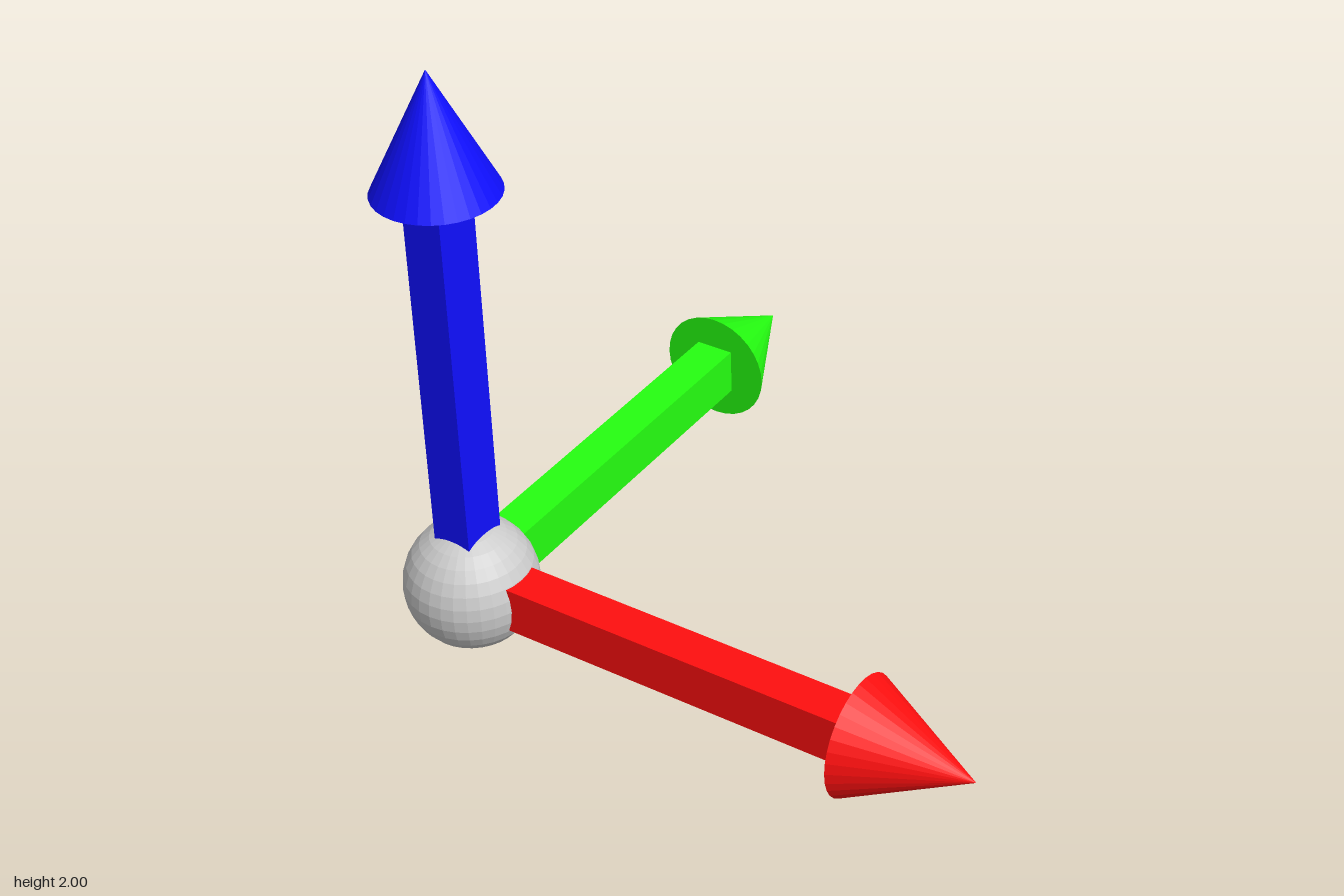
import * as THREE from 'three';

const CENTER = new THREE.Vector3(-0.784, 0.215, 0.784);
const REACH = 1.784;       // centre of the ball to an arrow tip
const HEAD = 0.386;        // length of the arrowhead
const HEAD_RADIUS = 0.193;

const material = (color) => new THREE.MeshStandardMaterial({ color, flatShading: true });

// An arrow along +y from the origin: rectangular shaft and closed cone
function makeArrow(name, color, width, depth) {
  const arrow = new THREE.Group();
  arrow.name = name;
  const mat = material(color);
  const length = REACH - HEAD;

  const shaft = new THREE.Mesh(new THREE.BoxGeometry(width, length, depth), mat);
  shaft.name = name + 'Shaft';
  shaft.position.y = length / 2;

  const head = new THREE.Mesh(new THREE.ConeGeometry(HEAD_RADIUS, HEAD, 32), mat);
  head.name = name + 'Head';
  head.position.y = REACH - HEAD / 2;

  arrow.add(shaft, head);
  return arrow;
}

export function createModel() {
  const model = new THREE.Group();
  model.name = 'axisArrows';

  // Ball at the corner where the arrows meet
  const ball = new THREE.Mesh(new THREE.SphereGeometry(0.215, 32, 16), material(0xcccccc));
  ball.name = 'originBall';

  // Arrows pointing up, to +x and to -z
  const up = makeArrow('upArrow', 0x0f0fff, 0.132, 0.158);
  const side = makeArrow('sideArrow', 0xff0f0f, 0.158, 0.132);
  side.rotation.z = -Math.PI / 2;
  const back = makeArrow('backArrow', 0x25ff11, 0.134, 0.16);
  back.rotation.x = -Math.PI / 2;

  for (const part of [ball, up, side, back]) {
    part.position.copy(CENTER);
    model.add(part);
  }
  return model;
}
